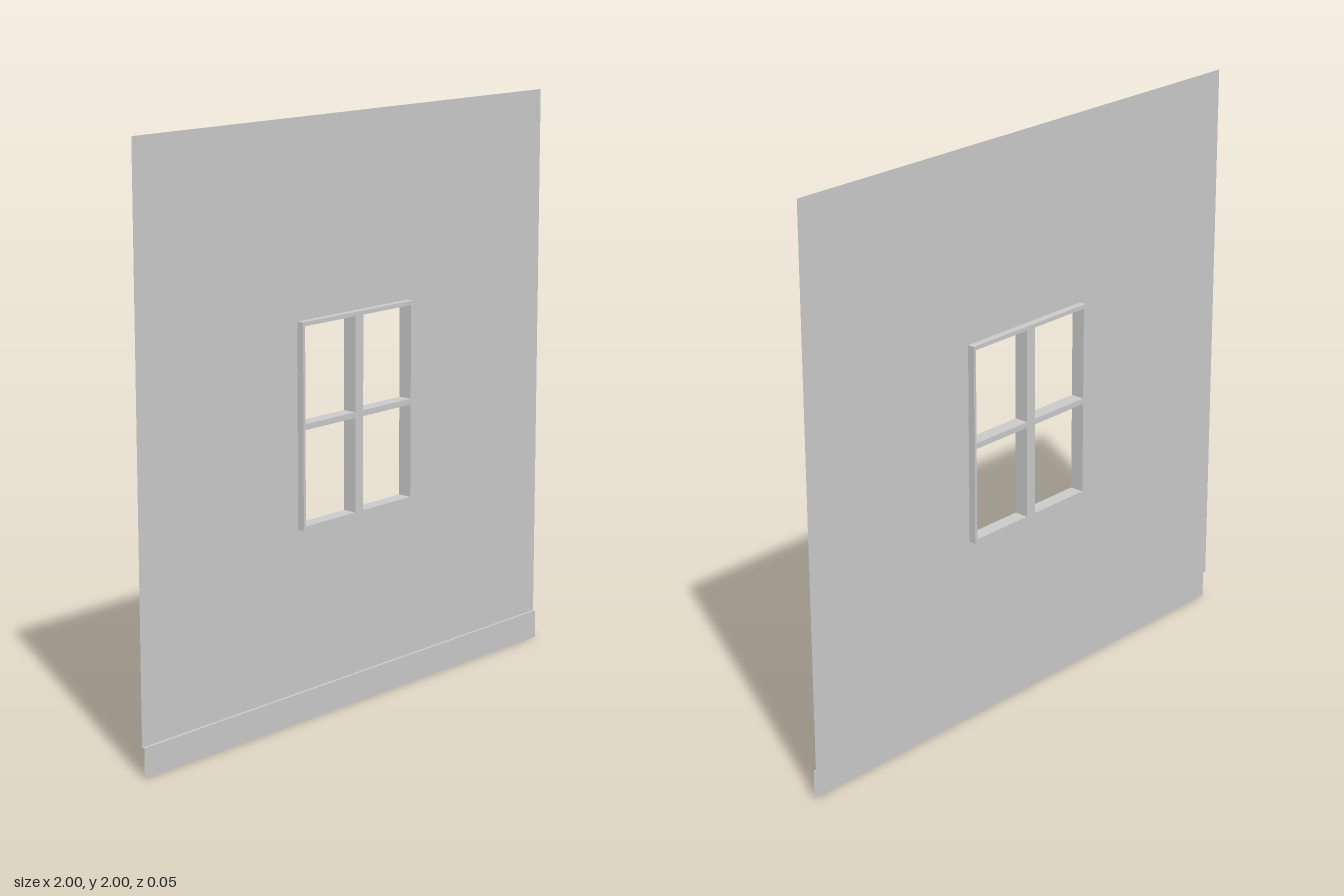
import * as THREE from 'three';

const grey = new THREE.MeshStandardMaterial({ color: 0xcccccc, flatShading: true, side: THREE.DoubleSide });

function add(parent, name, geometry, x = 0, y = 0, z = 0) {
  const mesh = new THREE.Mesh(geometry, grey);
  mesh.name = name;
  mesh.position.set(x, y, z);
  parent.add(mesh);
  return mesh;
}

function rect(path, x, y0, y1) {
  path.moveTo(-x, y0);
  path.lineTo(x, y0);
  path.lineTo(x, y1);
  path.lineTo(-x, y1);
  path.closePath();
  return path;
}

export function createModel() {
  const group = new THREE.Group();
  group.name = 'wallWithWindow';

  const halfW = 0.275, bottom = 0.655, top = 1.345; // window outline
  const side = 0.01, rail = 0.014, depth = 0.05;    // frame sizes
  const baseH = 0.1, baseZ = 0.01;                  // skirting step

  // Thin wall sheet with the window opening
  const wall = rect(new THREE.Shape(), 1, baseH, 2);
  wall.holes.push(rect(new THREE.Path(), halfW - side / 2, bottom + rail / 2, top - rail / 2));
  add(group, 'wall', new THREE.ShapeGeometry(wall));

  // Skirting: a sheet stepped forward from the wall
  const skirting = new THREE.Group();
  skirting.name = 'skirting';
  group.add(skirting);
  add(skirting, 'skirtingFront', new THREE.PlaneGeometry(2, baseH), 0, baseH / 2, baseZ);
  add(skirting, 'skirtingLedge', new THREE.PlaneGeometry(2, baseZ).rotateX(-Math.PI / 2), 0, baseH, baseZ / 2);

  // Window frame as one ring
  const windowGroup = new THREE.Group();
  windowGroup.name = 'window';
  group.add(windowGroup);
  const ring = rect(new THREE.Shape(), halfW, bottom, top);
  ring.holes.push(rect(new THREE.Path(), halfW - side, bottom + rail, top - rail));
  add(windowGroup, 'windowFrame',
    new THREE.ExtrudeGeometry(ring, { depth, bevelEnabled: false }), 0, 0, -depth / 2);

  // Crossing glazing bars
  const barW = 0.04, barH = 0.02, innerW = halfW - side;
  add(windowGroup, 'verticalBar', new THREE.BoxGeometry(barW, top - bottom - 2 * rail, depth), 0, 1, 0);
  for (const s of [-1, 1]) {
    add(windowGroup, s > 0 ? 'leftCrossBar' : 'rightCrossBar',
      new THREE.BoxGeometry(innerW - barW / 2, barH, depth), s * (innerW + barW / 2) / 2, 1, 0);
  }

  return group;
}
